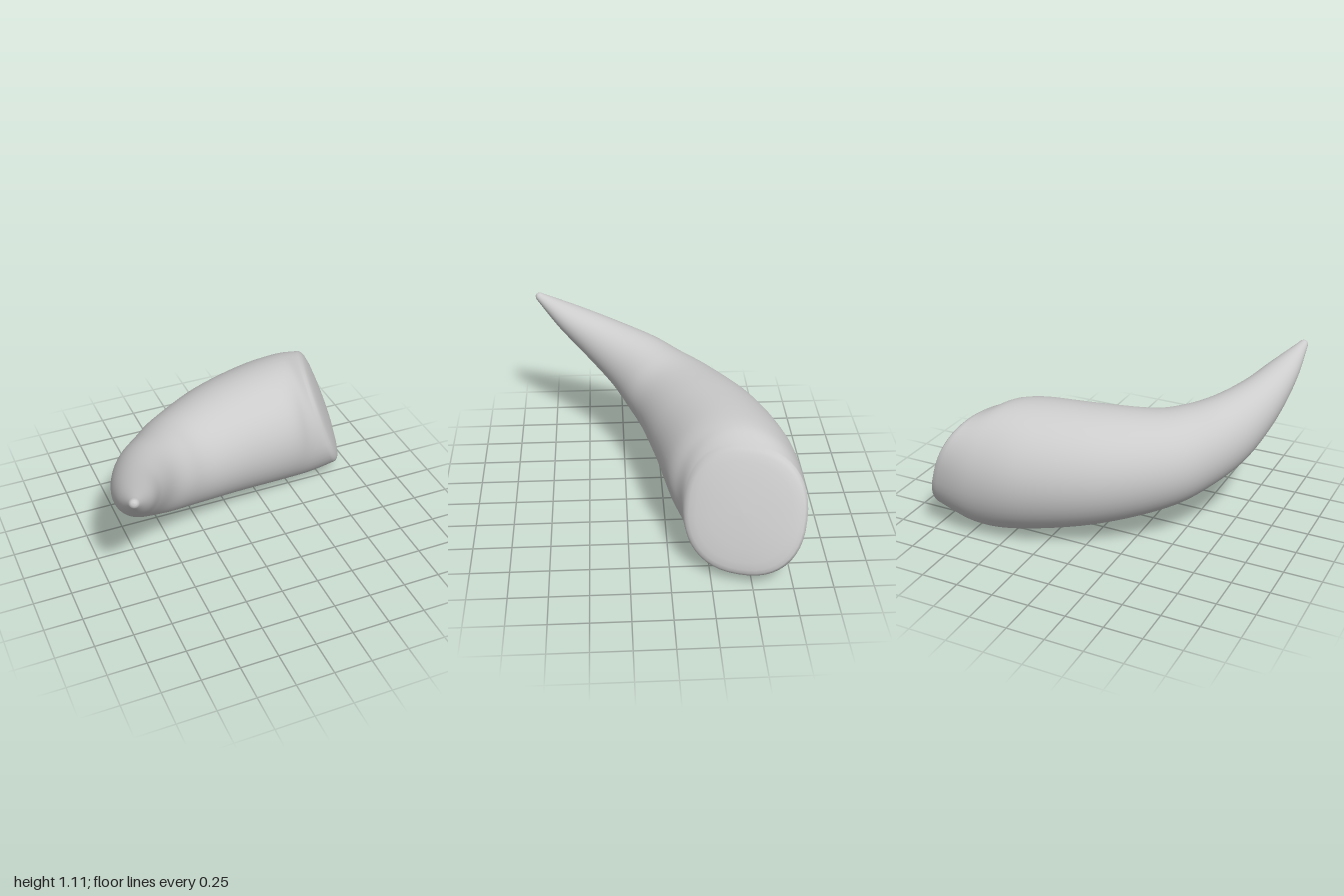
import * as THREE from 'three';

// Horn cross-sections from tip to base:
// centre x, y, z, half width, half height, yaw and lean in degrees, roundness (1 = ellipse)
const SECTIONS = [
  [-0.958, 1.08, 0.815, 0.032, 0.03, 72, 40, 1],
  [-0.895, 0.955, 0.62, 0.106, 0.098, 66, 38, 1],
  [-0.818, 0.825, 0.4, 0.158, 0.165, 57, 34, 1],
  [-0.7, 0.7, 0.175, 0.212, 0.232, 46, 26, 1],
  [-0.55, 0.608, 0.015, 0.262, 0.277, 36, 16, 1],
  [-0.36, 0.544, -0.135, 0.315, 0.322, 28, 8, 1],
  [-0.01, 0.5, -0.3, 0.38, 0.387, 17, 3, 1],
  [0.36, 0.467, -0.405, 0.41, 0.436, 9, -2, 1],
  [0.61, 0.445, -0.453, 0.392, 0.452, -5, -9, 0.97],
  [0.807, 0.455, -0.455, 0.38, 0.405, -18, -20, 0.86],
];
const SIDES = 48;
const STEPS = 72;

const curve = (pick) => new THREE.CatmullRomCurve3(
  SECTIONS.map((s) => new THREE.Vector3(...pick(s))), false, 'catmullrom', 0.5);
const centres = curve((s) => s.slice(0, 3));
const sizes = curve((s) => [s[3], s[4], s[7]]);
const angles = curve((s) => [s[5], s[6], 0]);
const power = (v, e) => Math.sign(v) * Math.abs(v) ** e;

// One rounded ring at t along the horn, scaled and pushed along its own axis
function ring(t, scale = 1, push = 0) {
  const c = centres.getPoint(t), size = sizes.getPoint(t), angle = angles.getPoint(t);
  const yaw = THREE.MathUtils.degToRad(angle.x), lean = THREE.MathUtils.degToRad(angle.y);
  const across = new THREE.Vector3(Math.sin(yaw), 0, Math.cos(yaw));
  const along = new THREE.Vector3(Math.cos(yaw), 0, -Math.sin(yaw));
  const up = along.clone().multiplyScalar(Math.sin(lean));
  up.y = Math.cos(lean);
  const axis = up.clone().cross(across);
  const points = [];
  for (let j = 0; j < SIDES; j++) {
    const a = (j / SIDES) * Math.PI * 2;
    points.push(c.clone()
      .addScaledVector(across, size.x * scale * power(Math.cos(a), size.z))
      .addScaledVector(up, size.y * scale * power(Math.sin(a), size.z))
      .addScaledVector(axis, push));
  }
  return points;
}

// Closed smooth skin over a row of rings
function loft(rings) {
  const positions = rings.flat().flatMap((p) => [p.x, p.y, p.z]);
  const index = [];
  for (let i = 0; i < rings.length - 1; i++) {
    for (let j = 0; j < SIDES; j++) {
      const k = (j + 1) % SIDES;
      const a = i * SIDES + j, b = a + SIDES, c = i * SIDES + k, d = c + SIDES;
      index.push(a, b, c, c, b, d);
    }
  }
  const geometry = new THREE.BufferGeometry();
  geometry.setAttribute('position', new THREE.Float32BufferAttribute(positions, 3));
  geometry.setIndex(index);
  geometry.computeVertexNormals();
  return geometry;
}

export function createModel() {
  const rings = [];
  // Rounded tip
  for (const [scale, push] of [[0.001, -0.03], [0.5, -0.026], [0.85, -0.015]]) {
    rings.push(ring(0, scale, push));
  }
  // Curved body
  for (let i = 0; i <= STEPS; i++) rings.push(ring(i / STEPS));
  // Slanted, slightly domed base with a softened rim
  for (const [scale, push] of [[0.96, 0.016], [0.9, 0.027], [0.78, 0.038], [0.55, 0.048], [0.28, 0.054], [0.001, 0.056]]) {
    rings.push(ring(1, scale, push));
  }

  const horn = new THREE.Mesh(loft(rings), new THREE.MeshStandardMaterial({ color: 0xcccccc }));
  horn.name = 'horn';
  const group = new THREE.Group();
  group.name = 'curvedHorn';
  group.add(horn);
  return group;
}
